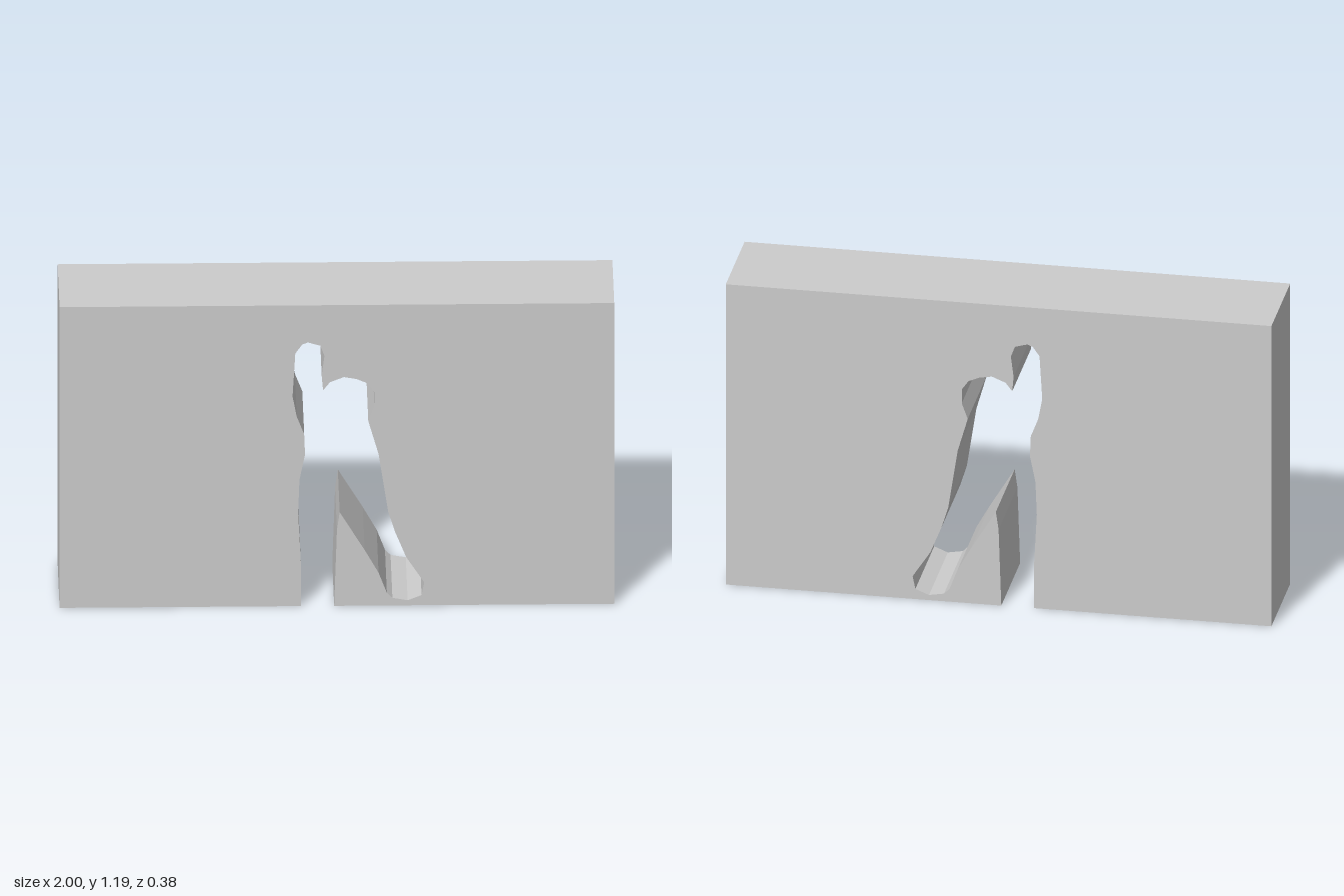
import * as THREE from 'three';

const WIDTH = 2, HEIGHT = 1.19, DEPTH = 0.375;

// Edge of the figure-shaped opening, from the standing foot round to its inner side
const figure = [
  // standing leg, side and raised arm
  [-0.13, 0], [-0.13, 0.17], [-0.14, 0.37], [-0.135, 0.5], [-0.115, 0.6],
  [-0.118, 0.68], [-0.145, 0.75], [-0.16, 0.83], [-0.15, 1.0], [-0.125, 1.035],
  [-0.105, 1.043], [-0.06, 1.03], [-0.045, 0.99], [-0.055, 0.91], [-0.05, 0.853],
  // head
  [-0.025, 0.885], [0.025, 0.905], [0.07, 0.897], [0.11, 0.88], [0.135, 0.845],
  [0.135, 0.79], [0.113, 0.73],
  // back and striding leg
  [0.15, 0.6], [0.185, 0.37], [0.21, 0.29], [0.25, 0.19], [0.315, 0.09],
  [0.305, 0.04], [0.255, 0.02], [0.2, 0.03], [0.18, 0.05], [0.15, 0.13],
  // inner legs
  [0.1, 0.22], [0.04, 0.32], [0.01, 0.37], [0, 0.3], [-0.005, 0.15], [-0.01, 0],
];

export function createModel() {
  const group = new THREE.Group();
  group.name = 'wallWithFigureOpening';

  // The opening reaches the ground, so wall and figure share one outline
  const outline = [
    [WIDTH / 2, 0], [WIDTH / 2, HEIGHT], [-WIDTH / 2, HEIGHT], [-WIDTH / 2, 0],
    ...figure,
  ].map(([x, y]) => new THREE.Vector2(x, y));

  const geometry = new THREE.ExtrudeGeometry(new THREE.Shape(outline), {
    depth: DEPTH, bevelEnabled: false,
  });
  geometry.translate(0, 0, -DEPTH / 2);

  const wall = new THREE.Mesh(
    geometry,
    new THREE.MeshStandardMaterial({ color: 0xcccccc, flatShading: true }),
  );
  wall.name = 'wall';
  group.add(wall);
  return group;
}
